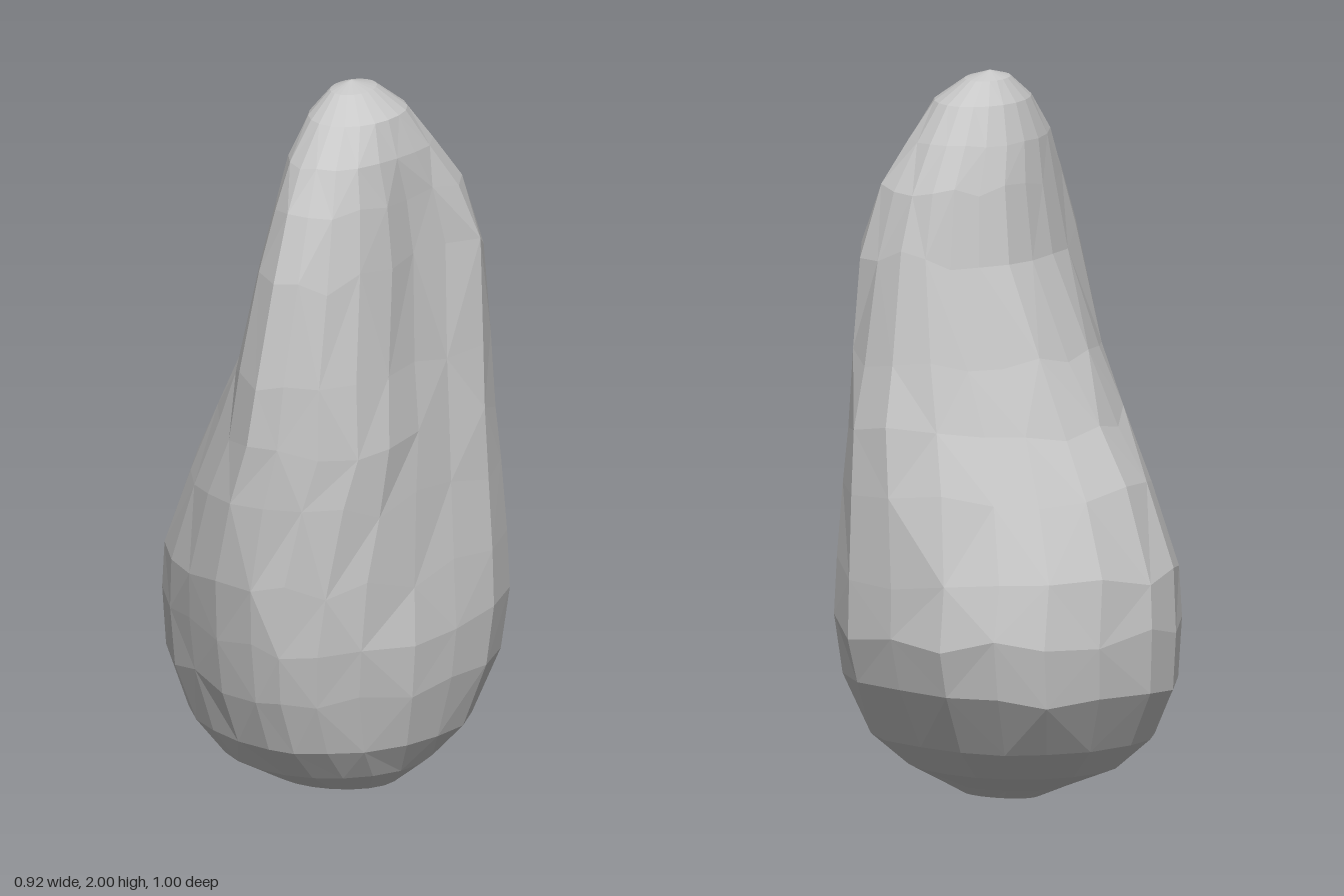
import * as THREE from 'three';

// Outlines seen from above as [x, z], running from +x round through +z.
const lowOutline = [
  [0.46, -0.12], [0.44, 0.05], [0.40, 0.21], [0.31, 0.36], [0.22, 0.45], [0.13, 0.50], [0.05, 0.50],
  [-0.08, 0.46], [-0.21, 0.385], [-0.32, 0.30], [-0.42, 0.17], [-0.46, 0.05], [-0.455, -0.09], [-0.38, -0.27],
  [-0.28, -0.41], [-0.16, -0.48], [-0.01, -0.505], [0.16, -0.455], [0.32, -0.395], [0.42, -0.28],
];
const midOutline = [
  [0.41, -0.17], [0.375, -0.04], [0.36, 0.10], [0.35, 0.24], [0.31, 0.34], [0.23, 0.42], [0.14, 0.485],
  [0.05, 0.495], [-0.05, 0.42], [-0.14, 0.32], [-0.22, 0.19], [-0.265, 0.07], [-0.27, -0.05], [-0.23, -0.17],
  [-0.15, -0.26], [-0.06, -0.325], [0.06, -0.38], [0.20, -0.41], [0.32, -0.365], [0.385, -0.27],
];
// The upper outline has a shallow hollow on the +x side
const highOutline = [
  [0.385, -0.19], [0.335, -0.09], [0.305, 0.03], [0.31, 0.15], [0.28, 0.27], [0.23, 0.36], [0.17, 0.41],
  [0.10, 0.42], [0.02, 0.36], [-0.03, 0.26], [-0.06, 0.15], [-0.07, 0.04], [-0.06, -0.06], [-0.035, -0.15],
  [0.02, -0.22], [0.08, -0.27], [0.14, -0.30], [0.21, -0.305], [0.29, -0.285], [0.36, -0.25],
];

// Extents of each level: y, xMin, xMax, zMin, zMax
const levels = [
  [0, -0.04, 0.18, -0.04, 0.09],
  [0.03, -0.11, 0.25, -0.09, 0.20],
  [0.09, -0.26, 0.33, -0.23, 0.31],
  [0.18, -0.37, 0.40, -0.35, 0.385],
  [0.34, -0.45, 0.445, -0.465, 0.44],
  [0.50, -0.46, 0.457, -0.505, 0.475],
  [0.66, -0.447, 0.445, -0.49, 0.50],
  [0.88, -0.36, 0.425, -0.45, 0.505],
  [1.05, -0.27, 0.41, -0.41, 0.495],
  [1.24, -0.18, 0.40, -0.365, 0.48],
  [1.52, -0.08, 0.385, -0.305, 0.425],
  [1.70, -0.05, 0.345, -0.265, 0.36],
  [1.82, -0.03, 0.30, -0.20, 0.29],
  [1.92, 0.005, 0.25, -0.13, 0.195],
  [1.98, 0.05, 0.165, -0.06, 0.10],
];

// Scale an outline into the 0..1 square
function normalise(outline) {
  const axis = (k) => {
    const v = outline.map((p) => p[k]);
    const min = Math.min(...v);
    return v.map((a) => (a - min) / (Math.max(...v) - min));
  };
  const xs = axis(0), zs = axis(1);
  return xs.map((x, i) => [x, zs[i]]);
}

function buildStone() {
  const { lerp, smoothstep, clamp } = THREE.MathUtils;
  const low = normalise(lowOutline), mid = normalise(midOutline), high = normalise(highOutline);
  const n = low.length, rows = levels.length;
  const round = normalise(low.map((_, i) => {
    const angle = (i / n) * Math.PI * 2 - 0.4;
    return [Math.cos(angle), Math.sin(angle)];
  }));
  let seed = 7;
  const jitter = (s) => {
    seed = (seed * 16807) % 2147483647;
    return (seed / 2147483647 - 0.5) * 2 * s;
  };
  const positions = [], index = [];

  // Rings blend from the broad base to the narrow upper ridge, rounding off at both ends
  levels.forEach(([y, x0, x1, z0, z1], j) => {
    const toMid = clamp((y - 0.45) / 0.6, 0, 1), toHigh = clamp((y - 1.05) / 0.45, 0, 1);
    const rounding = Math.max(1 - smoothstep(y, 0, 0.25), smoothstep(y, 1.58, 1.98));
    const wobble = 0.025 * smoothstep(y, 0.1, 0.5) * (1 - smoothstep(y, 1.5, 1.95));
    for (let i = 0; i < n; i++) {
      const [u, v] = [0, 1].map((k) => {
        const body = lerp(lerp(low[i][k], mid[i][k], toMid), high[i][k], toHigh);
        return lerp(body, round[i][k], rounding);
      });
      positions.push(x0 + (x1 - x0) * u, y + jitter(wobble), z0 + (z1 - z0) * v);
    }
  });

  // Sides, with alternating diagonals for irregular facets
  for (let j = 0; j < rows - 1; j++) {
    for (let i = 0; i < n; i++) {
      const k = (i + 1) % n;
      const a = j * n + i, b = j * n + k, c = a + n, d = b + n;
      if ((i + j) % 2) index.push(a, c, b, b, c, d);
      else index.push(a, c, d, a, d, b);
    }
  }

  // Foot and tip
  const foot = positions.length / 3, tip = foot + 1, last = (rows - 1) * n;
  positions.push(0.07, 0, 0.02, 0.10, 2, 0.02);
  for (let i = 0; i < n; i++) {
    const k = (i + 1) % n;
    index.push(foot, i, k, tip, last + k, last + i);
  }

  const geometry = new THREE.BufferGeometry();
  geometry.setAttribute('position', new THREE.Float32BufferAttribute(positions, 3));
  geometry.setIndex(index);
  const faceted = geometry.toNonIndexed();
  faceted.computeVertexNormals();
  return faceted;
}

export function createModel() {
  const group = new THREE.Group();
  group.name = 'boulder';
  const stoneGrey = new THREE.MeshStandardMaterial({ color: 0xc8c8c8, flatShading: true });
  stoneGrey.name = 'stone grey';
  const stone = new THREE.Mesh(buildStone(), stoneGrey);
  stone.name = 'stone';
  group.add(stone);
  return group;
}
